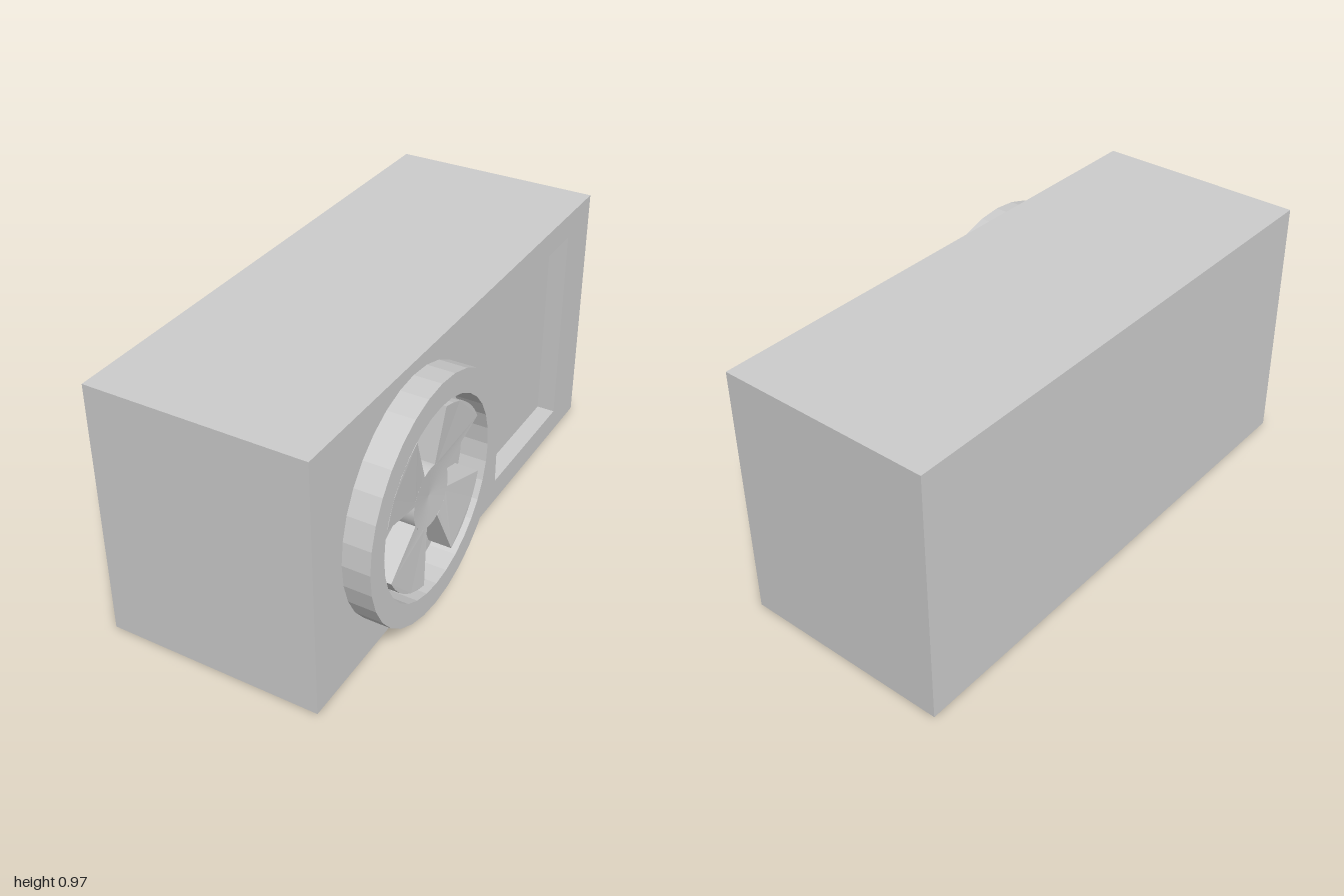
import * as THREE from 'three';

export function createModel() {
  const group = new THREE.Group();
  const grey = new THREE.MeshStandardMaterial({ color: 0xcccccc });
  grey.name = 'light grey';

  const add = (name, geometry) => {
    const mesh = new THREE.Mesh(geometry, grey);
    mesh.name = name;
    group.add(mesh);
    return mesh;
  };
  const extrude = (shape, depth, curveSegments = 16) =>
    new THREE.ExtrudeGeometry(shape, { depth, curveSegments, bevelEnabled: false });
  const rect = (path, x0, y0, x1, y1) =>
    path.moveTo(x0, y0).lineTo(x1, y0).lineTo(x1, y1).lineTo(x0, y1).closePath();

  // Body: solid block behind a side panel with a recessed rectangle
  const height = 0.97, side = 0.35, recess = 0.07;
  const block = add('bodyBlock', new THREE.BoxGeometry(0.8 - recess, height, 2));
  block.position.set(-0.05 - recess / 2, height / 2, 0);

  const panel = rect(new THREE.Shape(), -1, 0, 1, height);
  panel.holes.push(rect(new THREE.Path(), 0.26, 0.095, 0.805, 0.875));
  const panelMesh = add('sidePanel', extrude(panel, recess));
  panelMesh.rotation.y = Math.PI / 2;
  panelMesh.position.x = side - recess;

  // Fan parts are drawn in a plane, then turned to face +x
  const place = (mesh) => {
    mesh.rotation.y = Math.PI / 2;
    mesh.position.set(side, height / 2, 0.4);
  };

  // Fan ring
  const ring = new THREE.Shape().absarc(0, 0, 0.44, 0, Math.PI * 2);
  ring.holes.push(new THREE.Path().absarc(0, 0, 0.356, 0, Math.PI * 2, true));
  place(add('fanRing', extrude(ring, 0.1)));

  // Slightly dished front for the hub and blades
  const front = (r) => 0.062 + 0.08 * r;
  const hubR = 0.116, tipR = 0.326;

  const hub = add('fanHub', new THREE.LatheGeometry([
    new THREE.Vector2(hubR, 0), new THREE.Vector2(hubR, front(hubR)),
    new THREE.Vector2(hubR, front(hubR)), new THREE.Vector2(0, front(0)),
  ], 32).rotateX(Math.PI / 2));
  place(hub);

  // Four wedge blades, start and end angles in degrees
  for (const [a, b] of [[28, 80], [114, 165], [207, 258], [293, 344]]) {
    const a0 = THREE.MathUtils.degToRad(a), a1 = THREE.MathUtils.degToRad(b);
    const wedge = new THREE.Shape();
    wedge.absarc(0, 0, tipR, a0, a1, false);
    wedge.absarc(0, 0, hubR, a1, a0, true);
    wedge.closePath();
    const geometry = extrude(wedge, 1, 3);
    const p = geometry.attributes.position;
    for (let i = 0; i < p.count; i++) {
      if (p.getZ(i) > 0.5) p.setZ(i, front(Math.hypot(p.getX(i), p.getY(i))));
    }
    geometry.computeVertexNormals();
    place(add('fanBlade', geometry));
  }

  return group;
}
